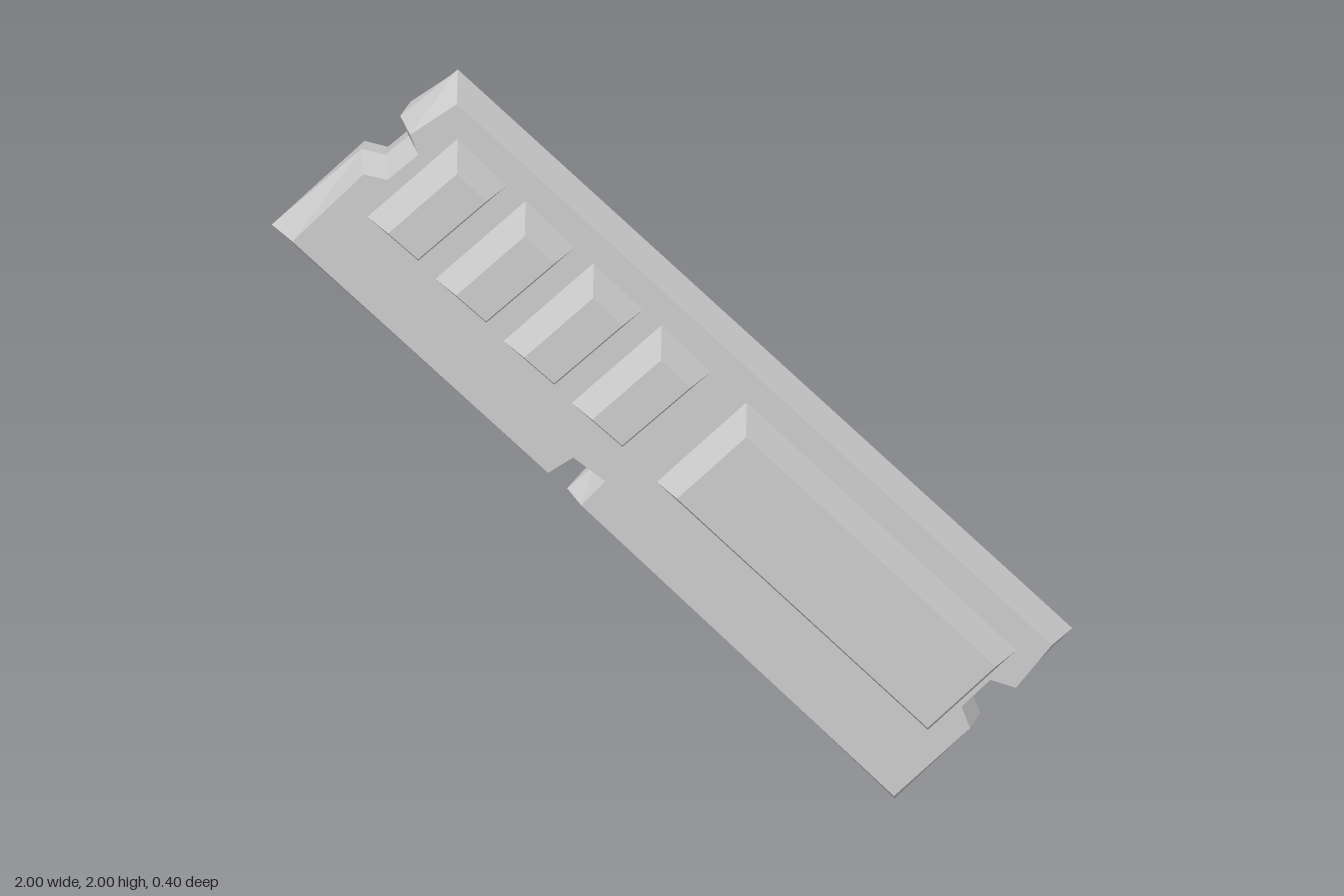
import * as THREE from 'three';

const BOARD_HALF = 0.1;  // board half thickness
const CHIP_TOP = 0.2;    // outer face of the chips
const BEVEL = 0.036;

const material = new THREE.MeshStandardMaterial({
  color: 0xcccccc, flatShading: true, side: THREE.DoubleSide,
});

// Mitred inset of a counter-clockwise outline; a third value per point scales its inset
function inset(points, distance) {
  const n = points.length;
  return points.map(([x, y, weight = 1], i) => {
    const [px, py] = points[(i + n - 1) % n];
    const [qx, qy] = points[(i + 1) % n];
    const a = new THREE.Vector2(py - y, x - px).normalize();
    const b = new THREE.Vector2(y - qy, qx - x).normalize();
    const k = (distance * weight) / (1 + a.dot(b));
    return new THREE.Vector2(x + (a.x + b.x) * k, y + (a.y + b.y) * k);
  });
}

// Closed solid lofted through [z, inset] layers, from back to front
function bevelledSolid(name, outline, layers) {
  const rings = layers.map(([z, d]) =>
    inset(outline, d).map((p) => new THREE.Vector3(p.x, p.y, z)));
  const n = outline.length;
  const corners = [];
  for (let r = 0; r + 1 < rings.length; r++) {
    for (let i = 0; i < n; i++) {
      const j = (i + 1) % n;
      const [a, b, c, d] = [rings[r][i], rings[r][j], rings[r + 1][j], rings[r + 1][i]];
      corners.push(a, b, c, a, c, d);
    }
  }
  const back = rings[0];
  const front = rings[rings.length - 1];
  const cap = (ring) => THREE.ShapeUtils.triangulateShape(
    ring.map((p) => new THREE.Vector2(p.x, p.y)), []);
  for (const [a, b, c] of cap(front)) corners.push(front[a], front[b], front[c]);
  for (const [a, b, c] of cap(back)) corners.push(back[a], back[c], back[b]);

  const geometry = new THREE.BufferGeometry().setFromPoints(corners);
  geometry.computeVertexNormals();
  const mesh = new THREE.Mesh(geometry, material);
  mesh.name = name;
  return mesh;
}

export function createModel() {
  const group = new THREE.Group();
  group.name = 'memoryModule';

  // Tilted board with a notch in each end and one in the lower long edge
  const boardOutline = [
    [-0.535, 2],
    [-0.679, 1.872, 0.6], [-0.658, 1.818, 0.6], [-0.716, 1.765, 0.6], [-0.775, 1.781, 0.6],
    [-1, 1.572],
    [-0.31, 0.904, 0.7], [-0.246, 0.957, 0.5], [-0.193, 0.914, 0.5], [-0.262, 0.85, 0.7],
    [0.556, 0],
    [0.77, 0.235, 0.6], [0.749, 0.294, 0.6], [0.802, 0.348, 0.6], [0.866, 0.326, 0.6],
    [1, 0.47],
  ];
  group.add(bevelledSolid('board', boardOutline,
    [[-BOARD_HALF, BEVEL], [0, 0], [BOARD_HALF, BEVEL]]));

  // Chips: four small ones in a row and a long one, on both faces
  const chips = [];
  for (let i = 0; i < 4; i++) {
    const s = i * 0.17;
    chips.push(['smallChip', [
      [-0.535 + s, 1.855 - s], [-0.76 + s, 1.64 - s],
      [-0.633 + s, 1.52 - s], [-0.412 + s, 1.727 - s],
    ]]);
  }
  chips.push(['longChip', [[0.187, 1.134], [-0.037, 0.914], [0.64, 0.235], [0.861, 0.455]]]);

  for (const [name, outline] of chips) {
    group.add(bevelledSolid(name + 'Front', outline, [[BOARD_HALF, 0], [CHIP_TOP, BEVEL]]));
    group.add(bevelledSolid(name + 'Back', outline, [[-CHIP_TOP, BEVEL], [-BOARD_HALF, 0]]));
  }
  return group;
}
